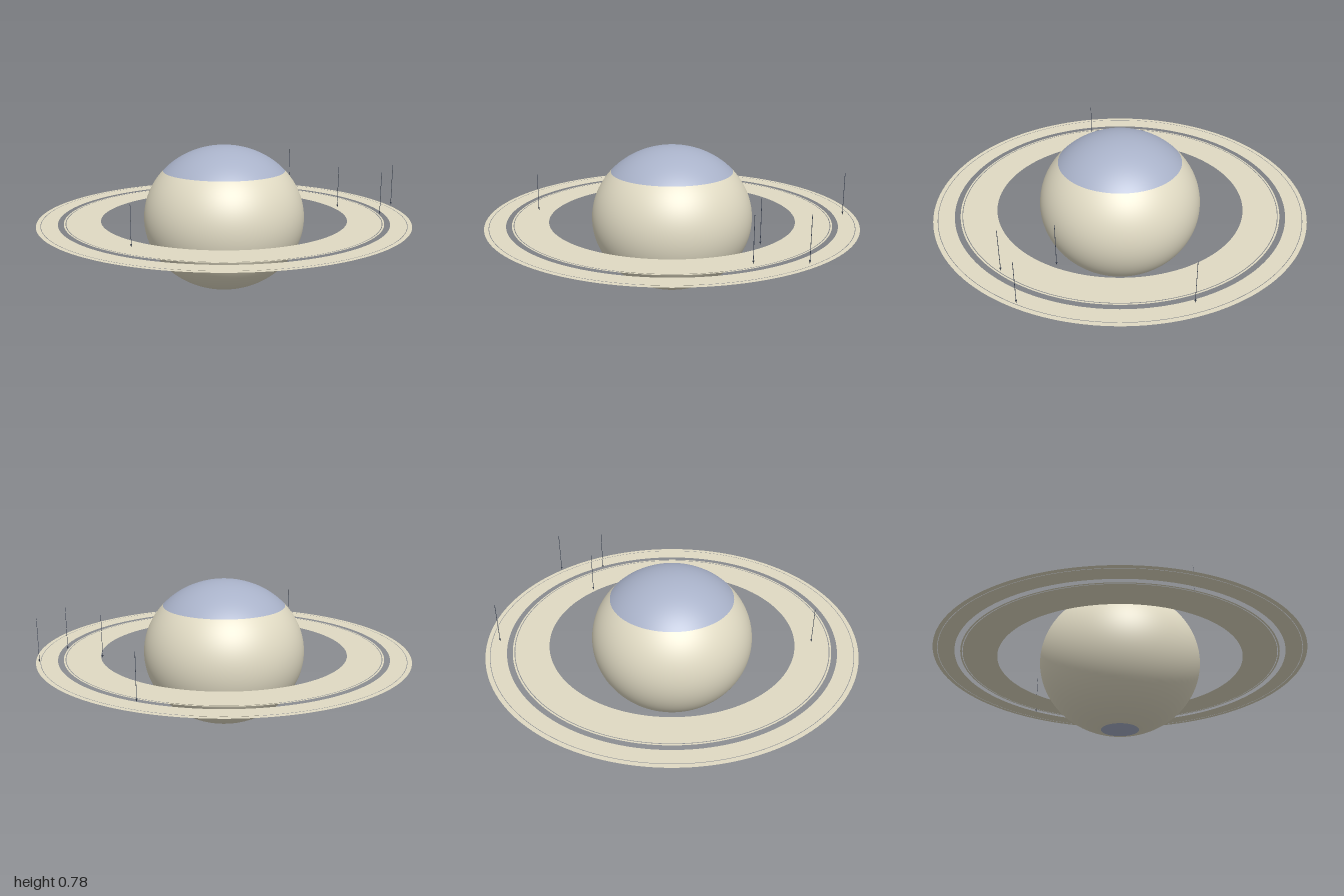
import * as THREE from 'three';

const mat = (name, color, side = THREE.FrontSide) => {
  const m = new THREE.MeshStandardMaterial({ color, side });
  m.name = name;
  return m;
};

export function createModel() {
  const group = new THREE.Group();
  const cream = mat('cream', 0xe0dac3);
  const ringCream = mat('ring cream', 0xe0dac3, THREE.DoubleSide);
  const blue = mat('pale blue', 0xa9b2c9);
  const dark = mat('dark slate', 0x3a4252);

  const R = 0.435, H = 0.392; // equatorial and polar radii

  const add = (name, geometry, material, parent = group) => {
    const mesh = new THREE.Mesh(geometry, material);
    mesh.name = name;
    parent.add(mesh);
    return mesh;
  };

  // Flattened globe in three bands between polar angles
  const north = Math.acos((0.65 - H) / H);
  const south = Math.PI - Math.asin(0.1 / R);
  const band = (name, from, to, rows, material) => {
    const g = new THREE.SphereGeometry(1, 96, rows, 0, Math.PI * 2, from, to - from);
    g.scale(R, H, R);
    add(name, g, material).position.y = H;
  };
  band('northCap', 0, north, 16, blue);
  band('globe', north, south, 40, cream);
  band('southCap', south, Math.PI, 6, blue);

  // Flat rings, separated by one wide gap and two hairline gaps
  const rings = new THREE.Group();
  rings.name = 'rings';
  rings.position.y = H;
  group.add(rings);
  [
    ['broadInnerRing', 0.664, 0.845],
    ['thinInnerRing', 0.849, 0.858],
    ['outerRing', 0.888, 0.974],
    ['thinOuterRing', 0.977, 1],
  ].forEach(([name, inner, outer]) => {
    const g = new THREE.RingGeometry(inner, outer, 160);
    g.rotateX(-Math.PI / 2);
    add(name, g, ringCream, rings);
  });

  // Hair-thin marker pins pointing down at the rings: x, z, bottom, top
  [
    [-0.59, 0.47, 0.395, 0.6],
    [0.64, -0.67, 0.41, 0.64],
    [0.66, 0.03, 0.41, 0.64],
    [0.81, 0.25, 0.41, 0.64],
    [0.98, 0.06, 0.41, 0.64],
  ].forEach(([x, z, y0, y1]) => {
    const pin = new THREE.Group();
    pin.name = 'markerPin';
    pin.position.set(x, y0, z);
    add('pinShaft', new THREE.BoxGeometry(0.002, y1 - y0, 0.002), dark, pin).position.y = (y1 - y0) / 2;
    const tip = new THREE.ConeGeometry(0.005, 0.014, 8);
    tip.rotateX(Math.PI);
    add('pinTip', tip, dark, pin).position.y = 0.007;
    group.add(pin);
  });

  return group;
}
